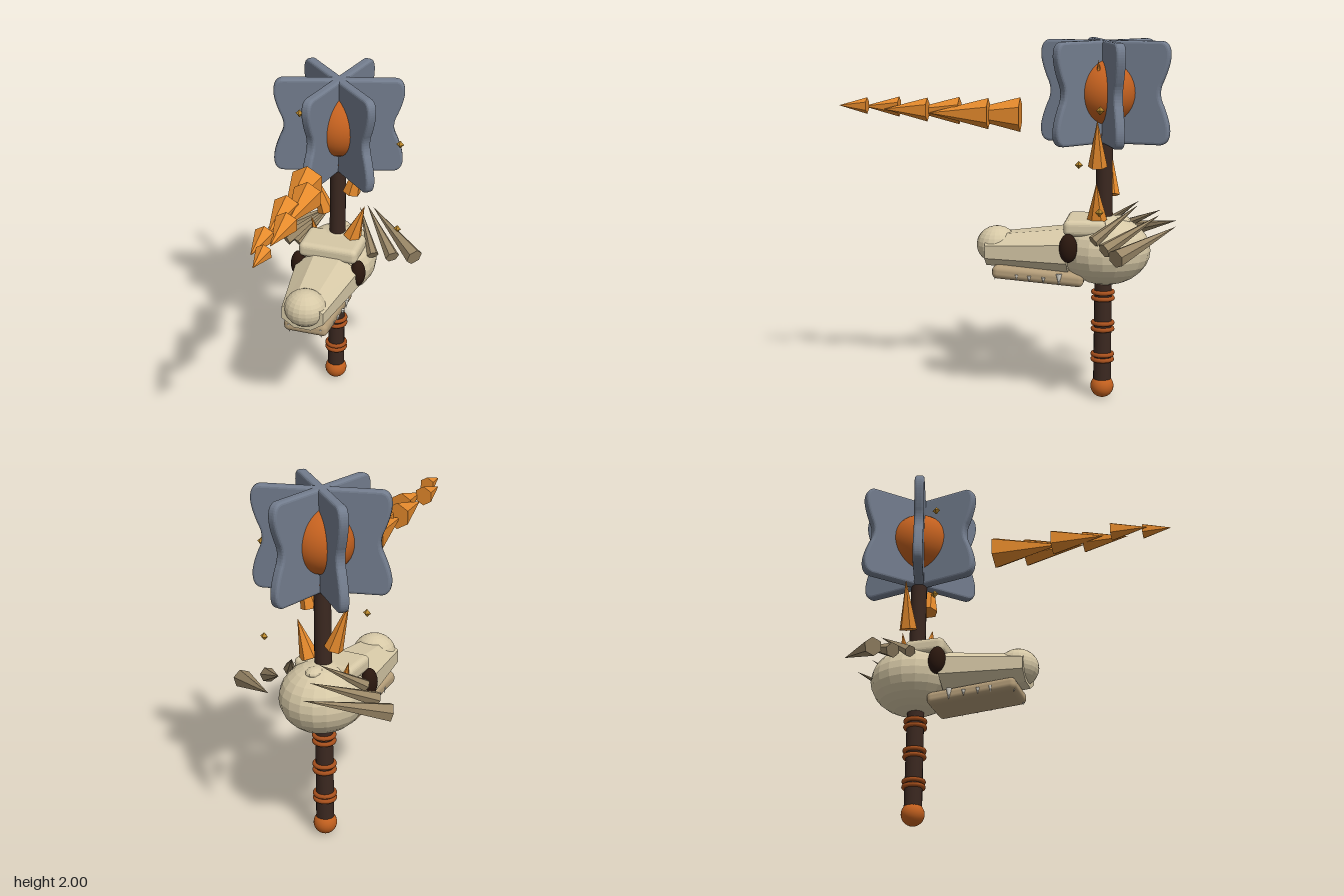
import * as THREE from 'three';
import { RoundedBoxGeometry } from 'three/addons/geometries/RoundedBoxGeometry.js';

const AXIS_Z = -0.54;
const mat = (color, flatShading = false) => new THREE.MeshStandardMaterial({ color, flatShading });
const M = {
  wood: mat(0x3b2820), ember: mat(0xc4611f), band: mat(0xa8501c), steel: mat(0x727c8d),
  flame: mat(0xe58a2c, true), gold: mat(0xb8862b, true), bone: mat(0xd6c8a6, true),
  jaw: mat(0xb39c78), horn: mat(0x9a8767, true), eye: mat(0x2a170e), tooth: mat(0xf0ece0),
};

export function createModel() {
  const group = new THREE.Group();

  function add(name, geometry, material, x, y, z) {
    const mesh = new THREE.Mesh(geometry, material);
    mesh.name = name;
    mesh.position.set(x, y, z);
    group.add(mesh);
    return mesh;
  }

  // Cone running from the centre of its base to its tip
  function spike(name, base, tip, radius, sides, material) {
    const a = new THREE.Vector3(...base), dir = new THREE.Vector3(...tip).sub(a);
    const length = dir.length();
    const geometry = new THREE.ConeGeometry(radius, length, sides).translate(0, length / 2, 0);
    const mesh = add(name, geometry, material, ...base);
    mesh.quaternion.setFromUnitVectors(new THREE.Vector3(0, 1, 0), dir.normalize());
    return mesh;
  }

  function ellipsoid(name, radii, material, x, y, z, w = 24, h = 16) {
    return add(name, new THREE.SphereGeometry(1, w, h).scale(...radii), material, x, y, z);
  }

  // Shaft, pommel and grip rings
  add('shaft', new THREE.CylinderGeometry(0.045, 0.05, 1.5, 16), M.wood, 0, 0.82, AXIS_Z);
  ellipsoid('pommel', [0.065, 0.065, 0.065], M.ember, 0, 0.065, AXIS_Z);
  for (const y of [0.22, 0.25, 0.395, 0.43, 0.57, 0.605, 1.49]) {
    const r = y > 1 ? 0.045 : 0.054;
    add('gripRing', new THREE.TorusGeometry(r, 0.013, 8, 24).rotateX(Math.PI / 2), M.band, 0, y, AXIS_Z);
  }

  // Mace head: three crossing plates with notched sides around a glowing core
  const bevel = 0.015, w = 0.365 - bevel, h = 0.28 - bevel;
  const plate = new THREE.Shape();
  plate.moveTo(-w + 0.04, -h);
  plate.lineTo(w - 0.04, -h);
  plate.quadraticCurveTo(w, -h, w, -h + 0.06);
  plate.quadraticCurveTo(w, -0.16, w - 0.035, -0.075);
  plate.quadraticCurveTo(w - 0.075, 0, w - 0.035, 0.075);
  plate.quadraticCurveTo(w, 0.16, w, h - 0.06);
  plate.quadraticCurveTo(w, h, w - 0.04, h);
  plate.lineTo(-w + 0.04, h);
  plate.quadraticCurveTo(-w, h, -w, h - 0.06);
  plate.quadraticCurveTo(-w, 0.16, -w + 0.035, 0.075);
  plate.quadraticCurveTo(-w + 0.075, 0, -w + 0.035, -0.075);
  plate.quadraticCurveTo(-w, -0.16, -w, -h + 0.06);
  plate.quadraticCurveTo(-w, -h, -w + 0.04, -h);
  const plateGeometry = new THREE.ExtrudeGeometry(plate, {
    depth: 0.025, bevelEnabled: true, bevelSize: bevel, bevelThickness: bevel, bevelSegments: 3, curveSegments: 8,
  }).translate(0, 0, -0.0125);
  for (let i = 0; i < 3; i++) {
    add('maceBlade', plateGeometry, M.steel, 0, 1.72, AXIS_Z)
      .rotation.y = THREE.MathUtils.degToRad(17 + 60 * i);
  }
  ellipsoid('core', [0.18, 0.18, 0.18], M.ember, 0, 1.72, AXIS_Z, 32, 20);

  // Flames climbing the shaft: base, tip, radius
  for (const [base, tip, r] of [
    [[-0.11, 0.86, -0.56], [-0.17, 1.08, -0.57], 0.05],
    [[0.1, 1.03, -0.51], [0.17, 1.24, -0.51], 0.055],
    [[-0.08, 1.14, -0.57], [-0.17, 1.41, -0.56], 0.052],
    [[0.09, 1.32, -0.51], [0.15, 1.58, -0.51], 0.053],
    [[0.09, 1.7, -0.52], [0.13, 1.9, -0.51], 0.04],
  ]) spike('shaftFlame', base, tip, r, 6, M.flame);

  // Flame jet: shrinking cones staggered left and right
  for (let i = 0; i < 6; i++) {
    const x = i % 2 ? 0.028 : -0.03, r = 0.096 - 0.01 * i, z = -0.07 + 0.17 * i;
    const y = 1.585 + 0.009 * i, length = 0.38 - 0.044 * i;
    add('jetFlame', new THREE.ConeGeometry(r, length, 6).rotateX(Math.PI / 2), M.flame, x, y, z + length / 2);
  }

  // Sparks circling the shaft
  for (let i = 0; i < 5; i++) {
    const a = (i * Math.PI * 2) / 3;
    add('spark', new THREE.OctahedronGeometry(0.023), M.gold,
      0.36 * Math.cos(a), 1.11 + 0.18 * i, AXIS_Z + 0.18 * Math.sin(a));
  }

  // Skull: cranium, brow, tapered octagonal snout, nose and jaw
  ellipsoid('cranium', [0.23, 0.195, 0.25], M.bone, 0, 0.845, -0.55, 20, 14);
  add('brow', new RoundedBoxGeometry(0.35, 0.09, 0.23, 3, 0.03), M.bone, 0, 0.985, -0.445);
  ellipsoid('crest', [0.05, 0.03, 0.06], M.bone, 0, 1.01, -0.63, 12, 8);
  const snout = new THREE.CylinderGeometry(0.132, 0.205, 0.46, 8)
    .rotateY(Math.PI / 8).rotateX(Math.PI / 2).scale(1, 0.66, 1);
  const sp = snout.attributes.position;
  for (let i = 0; i < sp.count; i++) if (sp.getZ(i) > 0) sp.setY(i, sp.getY(i) * 1.05 - 0.01);
  snout.computeVertexNormals();
  add('snout', snout, M.bone, 0, 0.845, -0.12);
  ellipsoid('nose', [0.12, 0.105, 0.115], M.bone, 0, 0.86, 0.055, 20, 14);
  add('lowerJaw', new RoundedBoxGeometry(0.26, 0.075, 0.51, 3, 0.03), M.jaw, 0, 0.705, -0.185)
    .rotation.x = -0.08;

  // Mirrored eye sockets, horns and teeth
  for (const s of [1, -1]) {
    ellipsoid('eyeSocket', [0.045, 0.08, 0.05], M.eye, s * 0.18, 0.88, -0.36);
    for (const [base, tip, r] of [
      [[0.445, 0.88, -0.635], [0.1, 1.0, -0.94], 0.052],
      [[0.33, 0.9, -0.565], [0.09, 1.06, -0.85], 0.042],
      [[0.23, 0.93, -0.5], [0.08, 1.11, -0.73], 0.034],
    ]) spike('horn', [s * base[0], base[1], base[2]], [s * tip[0], tip[1], tip[2]], r, 6, M.horn);
    for (const [x, z, top, length, r] of [
      [0.095, 0.055, 0.735, 0.06, 0.017], [0.125, -0.07, 0.715, 0.035, 0.011],
      [0.13, -0.14, 0.71, 0.035, 0.011], [0.135, -0.22, 0.705, 0.035, 0.011],
      [0.13, -0.305, 0.725, 0.065, 0.017],
    ]) spike('tooth', [s * x, top, z], [s * x, top - length, z], r, 8, M.tooth);
  }
  return group;
}
